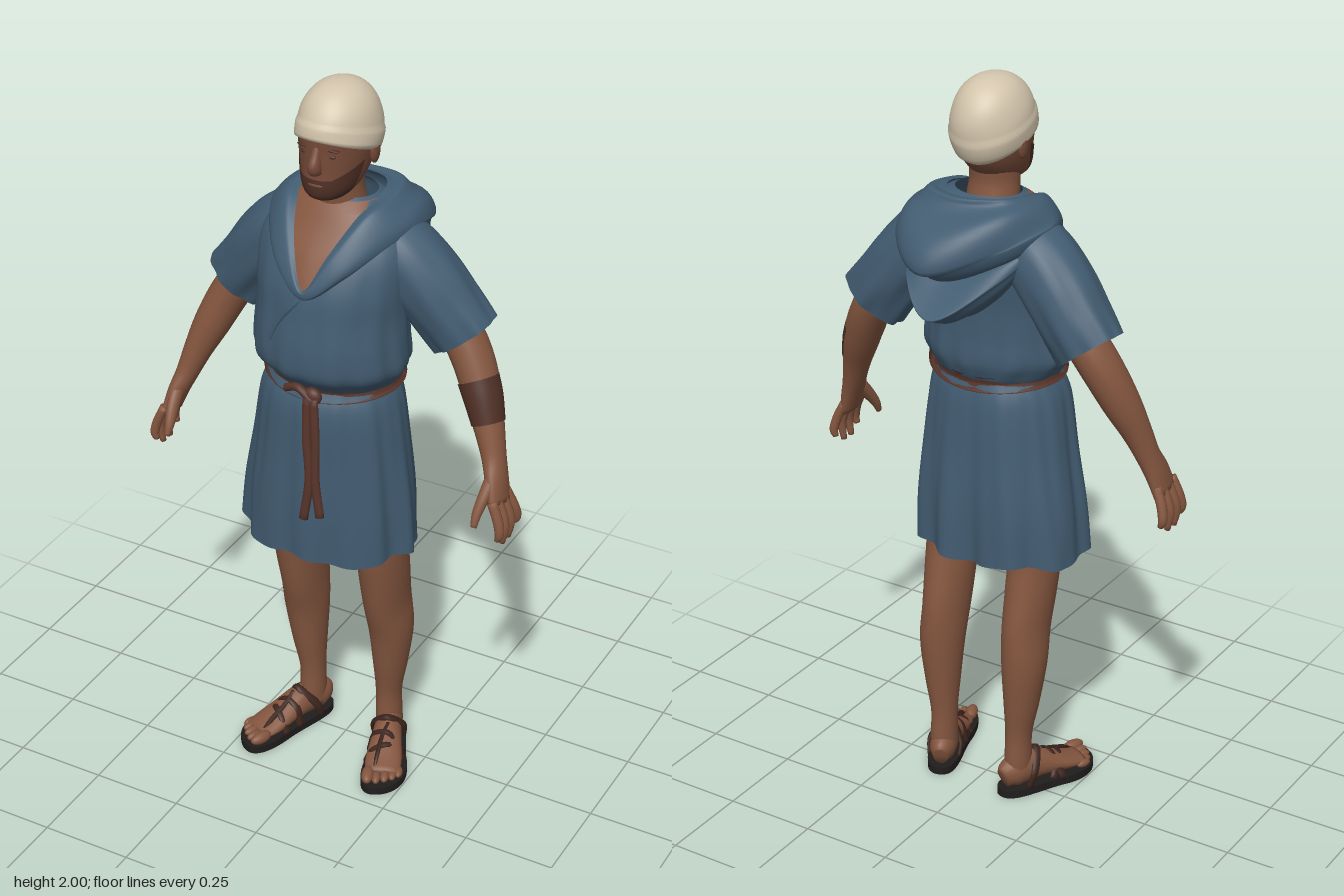
import * as THREE from 'three';

const V = (x, y, z) => new THREE.Vector3(x, y, z);
const { sin, cos, PI, abs, exp, max, min } = Math;
const paint = (name, color, open) => {
  const m = new THREE.MeshStandardMaterial({ color });
  m.name = name;
  if (open) m.side = THREE.DoubleSide;
  return m;
};

// Sampler (angle, t) for a body of elliptical sections [x, y, z, sideRadius, depthRadius]
function section(pts, { flat = false, ref = V(0, 0, 1), fold = () => 1 } = {}) {
  const mid = new THREE.CatmullRomCurve3(pts.map(p => V(p[0], p[1], p[2])), false, 'catmullrom');
  const rad = new THREE.CatmullRomCurve3(pts.map(p => V(p[3], p[4], 0)), false, 'catmullrom');
  return (a, t, k = 1) => {
    const c = mid.getPoint(t), r = rad.getPoint(t);
    const dir = flat ? V(0, 1, 0) : mid.getTangent(t);
    const u = ref.clone().addScaledVector(dir, -ref.dot(dir)).normalize();
    const v = dir.clone().cross(u), f = k * fold(a, t);
    return c.addScaledVector(v, cos(a) * r.x * f).addScaledVector(u, sin(a) * r.y * f);
  };
}

// Parameter t at which an upright section reaches height y
function atHeight(sec, y) {
  let lo = 0, hi = 1;
  for (let i = 0; i < 24; i++) {
    const m = (lo + hi) / 2;
    if (sec(0, m).y < y) lo = m; else hi = m;
  }
  return lo;
}

// Smooth surface from fn(u, v), optionally closed around u
function grid(fn, nu, nv, closed = true) {
  const pos = [], idx = [], w = closed ? nu : nu + 1;
  for (let j = 0; j <= nv; j++)
    for (let i = 0; i < w; i++) pos.push(...fn(i / nu, j / nv).toArray());
  for (let j = 0; j < nv; j++)
    for (let i = 0; i < nu; i++) {
      const a = j * w + i, c = j * w + (i + 1) % w;
      idx.push(a, a + w, c, c, a + w, c + w);
    }
  const g = new THREE.BufferGeometry();
  g.setAttribute('position', new THREE.Float32BufferAttribute(pos, 3));
  g.setIndex(idx);
  g.computeVertexNormals();
  return g;
}
const openLoft = (sec, nu, nv) => grid((u, v) => sec(u * 2 * PI, v), nu, nv);
const solid = (pts, nu = 16, nv = 16, opts) => {
  const sec = section(pts, opts);
  return grid((u, v) => sec(u * 2 * PI, min(1, max(0, (v * nv - 1) / (nv - 2))), v === 0 || v === 1 ? 0 : 1), nu, nv);
};
const tube = (pts, r, n = 20) =>
  new THREE.TubeGeometry(new THREE.CatmullRomCurve3(pts.map(p => V(...p))), n, r, 8);

export function createModel() {
  const model = new THREE.Group();
  const skin = paint('skin', 0x84563f), faceSkin = paint('face skin', 0x754a38, true);
  const cloth = paint('blue cloth', 0x425c71, true), linen = paint('linen', 0xd3c5ac, true);
  const leather = paint('belt leather', 0x57342a), hair = paint('dark brown', 0x4d2f25, true);
  const sole = paint('sole black', 0x201d1d), strap = paint('sandal strap', 0x3d251d);
  const add = (name, geo, mat, parent = model) => {
    const m = new THREE.Mesh(geo, mat);
    m.name = name;
    parent.add(m);
    return m;
  };
  const blob = (name, p, s, mat, parent) => {
    const m = add(name, new THREE.SphereGeometry(1, 16, 12), mat, parent);
    m.position.set(...p);
    m.scale.set(...s);
    return m;
  };

  // Tunic body, bloused over the belt
  const torso = section([
    [0, 1.21, .055, .164, .13], [0, 1.235, .06, .182, .148], [0, 1.275, .07, .205, .17], [0, 1.34, .073, .203, .17],
    [0, 1.42, .067, .198, .165], [0, 1.5, .055, .203, .163], [0, 1.58, .035, .205, .145], [0, 1.64, .02, .178, .115],
    [0, 1.69, .01, .13, .09], [0, 1.71, .01, .09, .07],
  ], {
    flat: true,
    fold: (a, t) => 1 + (.02 * sin(11 * a + 4 * t) + .013 * sin(19 * a - 6 * t)) * min(1, 5 * t) * max(0, 1 - 1.25 * t),
  });
  add('tunic body', openLoft(torso, 96, 40), cloth);
  add('wrap fold', tube([[.03, 1.52], [-.03, 1.46], [-.075, 1.4], [-.1, 1.35]].map(([x, y]) => {
    const t = atHeight(torso, y), p = torso(PI / 2 - Math.asin(x / torso(0, t).x), t);
    return [p.x, p.y, p.z - .002];
  }), .007), cloth);

  // Bare chest in the neckline
  add('chest', grid((u, v) => {
    const y = 1.5 + .205 * v, t = atHeight(torso, y), w = .008 + .1 * v;
    return torso(PI / 2 - Math.asin((1 - 2 * u) * w / max(.11, torso(0, t).x)), t, 1.035);
  }, 16, 16, false), skin);

  // Skirt with folds that deepen toward the hem and a crease behind
  const skirt = section([
    [-.018, .715, .047, .24, .18], [-.014, .85, .05, .232, .178], [-.008, 1, .055, .213, .168],
    [-.004, 1.15, .06, .193, .157], [0, 1.22, .057, .168, .134],
  ], {
    flat: true,
    fold: (a, t) => 1 + (1 - t) * (.034 * sin(9 * a + 1 + t) + .022 * sin(14 * a - 2 * t) - .17 * exp(-(((a - 1.5 * PI) / .16) ** 2)))
      + .014 * sin(24 * a) * t * (1 - t) * 2,
  });
  add('skirt', grid((u, v) => {
    const p = skirt(u * 2 * PI, v);
    p.y += .008 * (1 - v) * sin(u * 10 * PI);
    return p;
  }, 120, 24), cloth);

  // Hood lying on the shoulders: half outlines from front to back, inside to underside
  const outlines = [
    [[0, 1.512, .222], [.047, 1.6, .178], [.086, 1.68, .095], [.105, 1.71, .01], [.08, 1.715, -.06], [0, 1.715, -.08]],
    [[0, 1.507, .23], [.062, 1.597, .186], [.118, 1.69, .09], [.14, 1.705, 0], [.11, 1.712, -.085], [0, 1.705, -.12]],
    [[0, 1.49, .228], [.09, 1.56, .194], [.165, 1.645, .085], [.195, 1.65, -.01], [.155, 1.62, -.14], [0, 1.56, -.252]],
    [[0, 1.485, .22], [.095, 1.55, .182], [.175, 1.62, .075], [.195, 1.62, -.02], [.145, 1.57, -.12], [0, 1.515, -.165]],
    [[0, 1.48, .215], [.09, 1.545, .172], [.17, 1.605, .07], [.185, 1.6, -.02], [.13, 1.515, -.145], [0, 1.425, -.235]],
    [[0, 1.475, .19], [.085, 1.54, .14], [.15, 1.59, .05], [.155, 1.57, -.02], [.1, 1.47, -.1], [0, 1.405, -.12]],
  ].map(h => new THREE.CatmullRomCurve3(
    [...h, ...h.slice(1, 5).reverse().map(([x, y, z]) => [-x, y, z])].map(p => V(...p)), true));
  add('hood', grid((u, v) => {
    const p = new THREE.CatmullRomCurve3(outlines.map(c => c.getPoint(u))).getPoint(v);
    const back = max(0, -cos(u * 2 * PI)), drape = back * sin(PI * v);
    p.x += .035 * back * back * sin(PI * v);
    p.y += .01 * drape * sin(v * 36 + u * 6);
    p.z += .009 * drape * sin(v * 30 + u * 14);
    return p;
  }, 90, 60), cloth);

  // Belt, knot and hanging ends
  add('belt', grid((u, v) => {
    const a = u * 2 * PI, b = v * 2 * PI, o = -.01 * cos(b);
    return V(cos(a) * (.18 + o), 1.218 + .021 * sin(b) + .007 * cos(2 * a), .057 + sin(a) * (.147 + o));
  }, 64, 10), leather);
  blob('belt knot', [.02, 1.212, .212], [.026, .024, .017], leather);
  add('belt loop', tube([[-.06, 1.212, .205], [-.02, 1.228, .215], [.03, 1.2, .222]], .011), leather);
  [[[.01, 1.21, .222], [.012, 1.1, .23], [.024, .98, .24], [.01, .862, .245]],
    [[.028, 1.21, .222], [.038, 1.1, .232], [.042, .98, .24], [.058, .88, .246]]].forEach(p =>
    add('belt end', solid(p.map(q => [...q, .013, .01]), 8, 20), leather));

  // Neck, head and face
  add('neck', solid([[0, 1.6, .015, .08, .07], [0, 1.68, .03, .069, .064], [0, 1.74, .038, .064, .065], [0, 1.82, .03, .07, .07]], 24), skin);
  const headPts = [
    [0, 1.715, .085, .02, .03], [0, 1.73, .08, .05, .068], [0, 1.755, .065, .07, .092], [0, 1.8, .045, .084, .109],
    [0, 1.85, .038, .092, .115], [0, 1.9, .035, .094, .118], [0, 1.95, .03, .08, .1]];
  add('head', solid(headPts, 32, 28, { flat: true }), faceSkin);
  const head = section(headPts, { flat: true });
  add('beard', grid((u, v) => {
    const d = (u - .5) * 2.7, top = 1.785 + .045 * max(0, abs(d) - .5);
    return head(PI / 2 + d, atHeight(head, 1.717 + (top - 1.717) * v), 1.025);
  }, 28, 10, false), hair);
  blob('lips', [0, 1.77, .153], [.022, .007, .007], faceSkin);
  add('nose', solid([[0, 1.875, .138, .012, .012], [0, 1.845, .15, .013, .016], [0, 1.82, .157, .017, .022], [0, 1.803, .15, .016, .014]]), faceSkin);
  for (const s of [1, -1]) {
    blob('eye', [s * .035, 1.847, .139], [.014, .005, .006], hair);
    blob('eyebrow', [s * .036, 1.864, .139], [.022, .004, .008], hair);
    blob('ear', [s * .092, 1.83, .022], [.011, .034, .02], faceSkin);
  }

  // Head wrap: dome with a thicker band, lower at the back
  add('head wrap', grid((u, v) => {
    const a = u * 2 * PI, edge = Math.asin((-.04 + .045 * sin(a)) / .125);
    const e = edge + (PI / 2 - edge) * v;
    const k = max(0, cos(e)) ** .85 * (1 + (v > 0 && v < .24 ? .03 : 0) - (v === 0 ? .05 : 0) + .008 * sin(3 * a + 14 * v) * (1 - v));
    return V(cos(a) * .102 * k, 1.875 + sin(e) * .125, .03 + sin(a) * .125 * k);
  }, 48, 28), linen);

  for (const s of [1, -1]) {
    const side = pts => pts.map(([x, ...r]) => [s * x, ...r]);

    // Wide sleeve
    const sleeve = section(side([
      [.09, 1.6, 0, .08, .085], [.155, 1.56, -.002, .093, .098], [.22, 1.492, -.012, .096, .098],
      [.275, 1.42, -.022, .094, .09], [.323, 1.355, -.028, .095, .077]]),
    { fold: (a, t) => 1 + t * (.035 * sin(6 * a + 5 * t) + .022 * sin(11 * a)) });
    add('sleeve', openLoft(sleeve, 48, 24), cloth);

    // Arm and hand
    add('arm', solid(side([
      [.2, 1.5, -.02, .055, .06], [.3, 1.38, -.025, .054, .058], [.353, 1.3, -.015, .053, .057], [.396, 1.21, .008, .048, .051],
      [.427, 1.135, .03, .038, .041], [.45, 1.07, .048, .03, .037], [.468, 1.02, .066, .025, .044], [.484, .965, .08, .018, .05]]), 20, 32), skin);
    [[.12, .13, .885], [.094, .1, .862], [.067, .066, .862], [.043, .028, .885]].forEach(([z0, z1, y]) =>
      add('finger', solid(side([
        [.482, .985, z0, .013, .014], [.502, .94, (z0 + z1) / 2, .013, .014], [.51, .905, z1, .012, .012], [.504, y, z1, .008, .008]]), 10, 14), skin));
    add('thumb', solid(side([
      [.462, 1.03, .085, .018, .02], [.457, .99, .12, .016, .018], [.452, .955, .145, .013, .013], [.452, .925, .16, .008, .008]]), 10, 14), skin);

    // Leg
    add('leg', solid(side([
      [.125, .86, .045, .075, .09], [.128, .7, .035, .067, .084], [.127, .6, .018, .064, .084], [.126, .5, -.002, .059, .083],
      [.13, .4, -.018, .059, .071], [.126, .28, -.024, .047, .056], [.12, .18, -.028, .035, .042], [.12, .1, -.03, .035, .044],
      [.12, .05, -.03, .034, .042]]), 24, 36), skin);

    // Foot and sandal, turned outward
    const foot = new THREE.Group();
    foot.name = 'foot';
    foot.position.set(s * .12, 0, -.034);
    foot.rotation.y = s * .38;
    model.add(foot);
    add('instep', solid(side([
      [0, .05, -.048, .02, .03], [0, .062, -.02, .035, .045], [0, .068, .04, .037, .048], [0, .056, .1, .044, .034],
      [0, .042, .16, .05, .022], [0, .035, .205, .046, .014]]), 20, 20, { ref: V(0, 1, 0) }), skin, foot);
    [[-.037, .22, .017], [-.013, .225, .012], [.009, .217, .012], [.029, .207, .011], [.045, .193, .011]].forEach(([x, z, r]) =>
      blob('toe', [s * x, .024 + r * .8, z], [r, r, r * 2], skin, foot));
    const outline = new THREE.Shape();
    outline.moveTo(0, .06);
    outline.bezierCurveTo(s * .06, .06, s * .042, -.05, s * .062, -.13);
    outline.bezierCurveTo(s * .075, -.21, s * .03, -.257, s * -.02, -.258);
    outline.bezierCurveTo(s * -.064, -.258, s * -.062, -.19, s * -.054, -.14);
    outline.bezierCurveTo(s * -.037, -.06, s * -.057, .06, 0, .06);
    const base = new THREE.ExtrudeGeometry(outline, { depth: .022, bevelEnabled: false, curveSegments: 14 });
    base.rotateX(-PI / 2);
    add('sandal sole', base, sole, foot);
    [[[-.048, .022, .09], [-.032, .078, .09], [.012, .088, .1], [.052, .022, .12]],
      [[-.052, .022, .14], [-.032, .062, .14], [.015, .073, .125], [.047, .022, .09]],
      [[-.022, .022, .21], [-.018, .058, .17], [-.01, .084, .105], [0, .1, .07]],
      [[-.042, .022, .01], [-.042, .07, .03], [0, .114, .06], [.042, .07, .03], [.042, .022, .01]]].forEach(p =>
      add('sandal strap', solid(side(p).map(q => [...q, .006, .012]), 8, 24), strap, foot));
  }

  // Dark patch on the front and outside of the left forearm
  const patch = section([[.375, 1.253, -.004, .053, .057], [.396, 1.21, .008, .0505, .0535], [.42, 1.152, .025, .043, .0465]]);
  add('forearm patch', grid((u, v) => patch((.25 + 1.1 * u) * PI, v), 20, 8, false), hair);
  return model;
}
